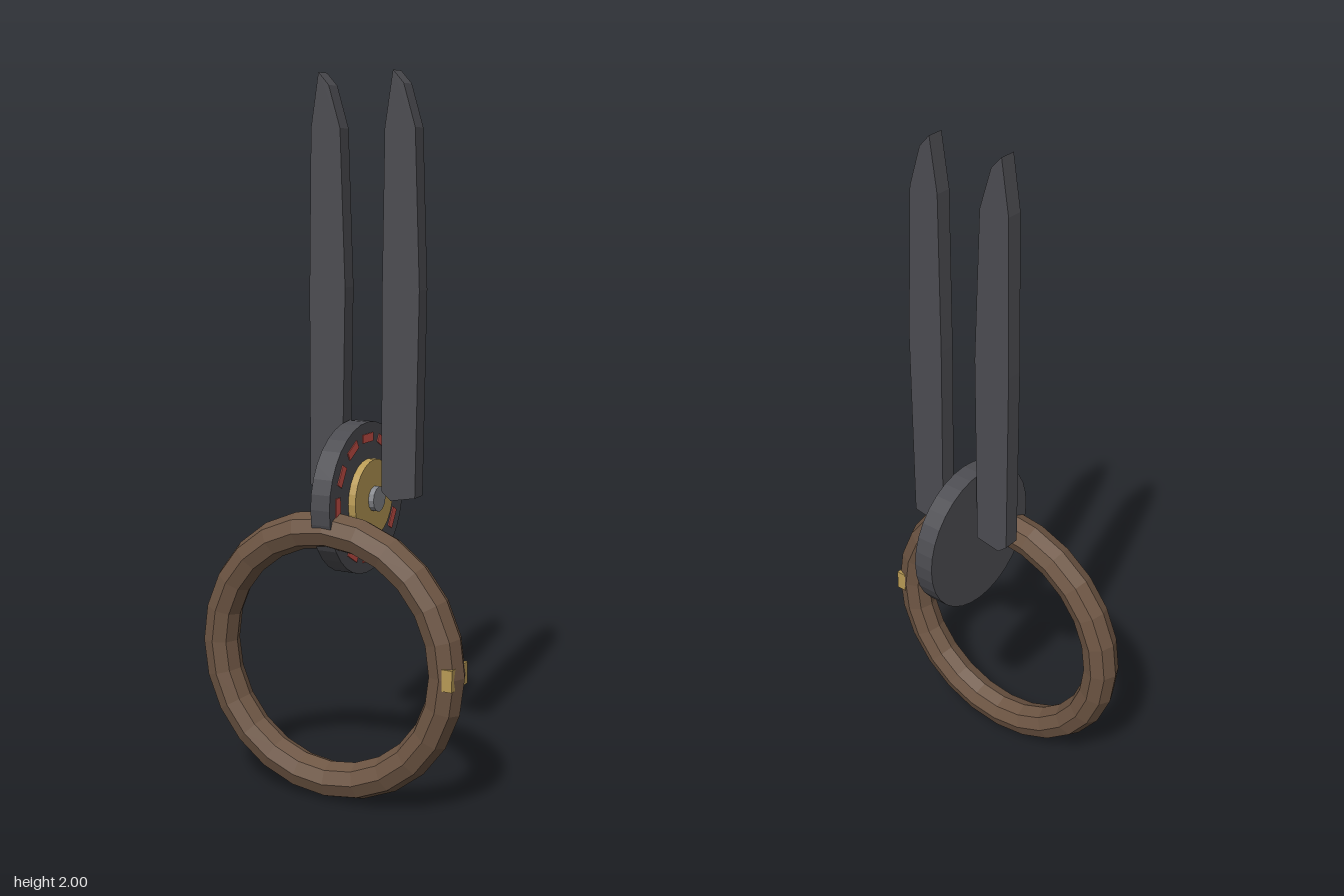
import * as THREE from 'three';

const material = (name, color) => {
  const m = new THREE.MeshStandardMaterial({ color, flatShading: true });
  m.name = name;
  return m;
};

export function createModel() {
  const model = new THREE.Group();
  const darkMetal = material('dark metal', 0x4c4c51);
  const wood = material('brown wood', 0x6d5543);
  const brass = material('brass', 0xb89a55);
  const steel = material('grey steel', 0x85878c);
  const red = material('red', 0xcb5148);

  const add = (name, geometry, mat, x, y, z, parent = model) => {
    const mesh = new THREE.Mesh(geometry, mat);
    mesh.name = name;
    mesh.position.set(x, y, z);
    parent.add(mesh);
    return mesh;
  };

  // Wooden ring handle with a brass clasp on its left side
  add('ringHandle', new THREE.TorusGeometry(0.358, 0.052, 8, 24), wood, 0, 0.413, 0.162);
  add('ringClasp', new THREE.BoxGeometry(0.03, 0.06, 0.098), brass, 0.38, 0.414, 0.162);

  // Pivot: stacked discs along x, with a dashed circle on the outer face
  const pivot = new THREE.Group();
  pivot.name = 'pivot';
  pivot.position.set(0, 0.833, 0);
  model.add(pivot);
  const disc = (name, radius, x0, x1, sides, mat) => {
    const geometry = new THREE.CylinderGeometry(radius, radius, x1 - x0, sides).rotateZ(-Math.PI / 2);
    add(name, geometry, mat, (x0 + x1) / 2, 0, 0, pivot);
  };
  disc('pivotDisc', 0.215, -0.03, 0.029, 32, darkMetal);
  disc('brassDisc', 0.111, 0.027, 0.051, 24, brass);
  disc('hub', 0.036, 0.049, 0.067, 12, steel);
  for (let i = 0; i < 12; i++) {
    const a = (i / 12) * Math.PI * 2;
    const dash = add('redDash', new THREE.BoxGeometry(0.006, 0.024, 0.058), red,
      0.029, Math.cos(a) * 0.17, Math.sin(a) * 0.17, pivot);
    dash.rotation.x = a;
  }

  // Two identical upright blades with slanted tips
  const outline = [[-0.143, 0.86], [-0.115, 0.836], [-0.04, 0.85], [-0.03, 1.42],
    [-0.045, 1.85], [-0.08, 1.965], [-0.112, 2], [-0.136, 1.85], [-0.143, 1.4]];
  const shape = new THREE.Shape(outline.map(([x, y]) => new THREE.Vector2(x, y)));
  const blade = new THREE.ExtrudeGeometry(shape, { depth: 0.048, bevelEnabled: false });
  add('rightBlade', blade, darkMetal, 0, 0, -0.026);
  add('leftBlade', blade, darkMetal, 0.228, 0, -0.026);

  return model;
}
